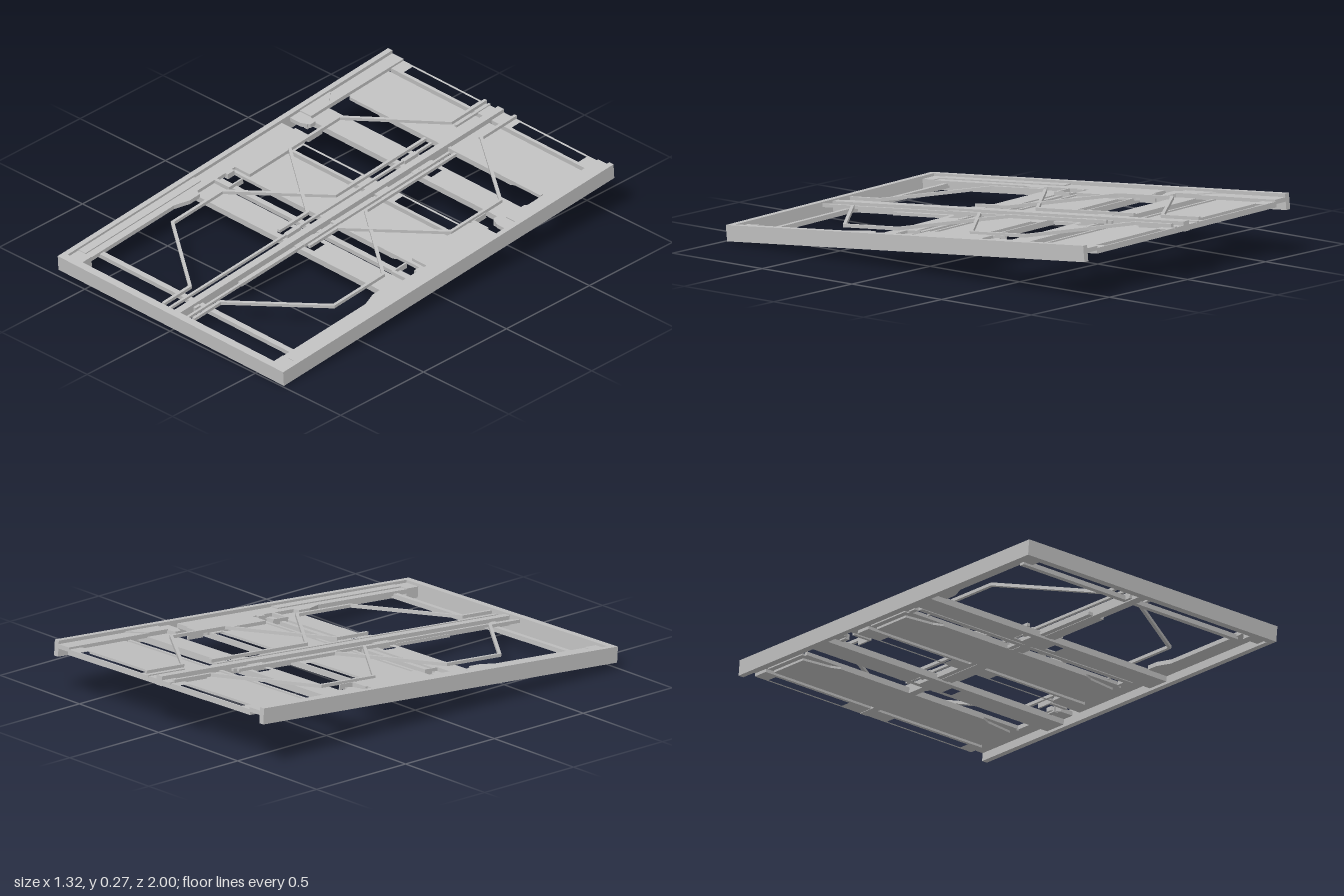
import * as THREE from 'three';

export function createModel() {
  const model = new THREE.Group();
  model.name = 'model';
  const frame = new THREE.Group();
  frame.name = 'tiltedFrame';
  model.add(frame);
  const steel = new THREE.MeshStandardMaterial({ color: 0xc0c0c0 });
  steel.name = 'grey steel';

  const add = (name, geo) => {
    const mesh = new THREE.Mesh(geo, steel);
    mesh.name = name;
    frame.add(mesh);
    return mesh;
  };
  // Box given by its limits
  const box = (name, x0, x1, y0, y1, z0, z1) =>
    add(name, new THREE.BoxGeometry(Math.abs(x1 - x0), y1 - y0, z1 - z0)
      .translate((x0 + x1) / 2, (y0 + y1) / 2, (z0 + z1) / 2));
  // Flat plate from an x,z outline, with rectangular holes [x0, x1, z0, z1]
  const plate = (name, pts, y0, y1, holes = []) => {
    const shape = new THREE.Shape(pts.map(([x, z]) => new THREE.Vector2(x, -z)));
    for (const [a, b, c, d] of holes) {
      shape.holes.push(new THREE.Path(
        [[a, c], [b, c], [b, d], [a, d]].map(([x, z]) => new THREE.Vector2(x, -z))));
    }
    const geo = new THREE.ExtrudeGeometry(shape, { depth: y1 - y0, bevelEnabled: false });
    return add(name, geo.rotateX(-Math.PI / 2).translate(0, y0, 0));
  };
  const rect = (x0, x1, z0, z1) => [[x0, z0], [x1, z0], [x1, z1], [x0, z1]];
  const mirrorX = (pts, s) => pts.map(([x, z]) => [s * x, z]);
  const both = (x0, x1, z0, z1) => [[x0, x1, z0, z1], [-x1, -x0, z0, z1]];
  // Square rod that follows x,z points
  const rod = (name, pts, y, w = 0.014) => {
    for (let i = 1; i < pts.length; i++) {
      const [ax, az] = pts[i - 1], [bx, bz] = pts[i];
      const len = Math.hypot(bx - ax, bz - az);
      const m = add(name, new THREE.BoxGeometry(w, w, len + w * 0.5));
      m.position.set((ax + bx) / 2, y, (az + bz) / 2);
      m.rotation.y = Math.atan2(bx - ax, bz - az);
    }
  };

  // Front wall and slim bars behind it
  box('frontWall', -0.66, 0.66, 0, 0.07, 0.965, 1);
  box('frontCrossBar', -0.57, 0.57, 0.025, 0.045, 0.825, 0.85);
  box('frontClip', -0.03, 0.03, 0.025, 0.05, 0.85, 0.88);

  // Side rails: tall outer wall with a stepped inner flange
  for (const s of [1, -1]) {
    box('sideWall', s * 0.66, s * 0.635, 0, 0.07, -1, 0.99);
    plate('sideFlange', mirrorX([
      [0.64, 0.97], [0.56, 0.97], [0.56, 0.40], [0.535, 0.33], [0.535, 0.27], [0.56, 0.26],
      [0.56, 0.03], [0.475, 0.03], [0.475, -0.30], [0.49, -0.33], [0.59, -0.33],
      [0.635, -0.33], [0.635, -0.38], [0.575, -0.38], [0.535, -0.40], [0.535, -0.43],
      [0.575, -0.44], [0.575, -0.60], [0.57, -1], [0.64, -1],
    ], s), 0.036, 0.055);
    // Gusset where the flange meets the rear beam
    plate('railGusset', mirrorX([[0.64, -0.63], [0.57, -0.55], [0.57, -0.44], [0.64, -0.44]], s),
      0.055, 0.06);
    box('flangeStrip', s * 0.637, s * 0.595, 0.055, 0.06, 0.2, 0.9);
    box('cornerBlock', s * 0.637, s * 0.56, 0.01, 0.058, 0.9, 0.966);

    // Small brackets around the side openings
    for (const z of [0.05, -0.43]) {
      box('openingBracket', s * 0.475, s * 0.483, 0.03, 0.055, z + 0.02, z + 0.1);
      box('openingBracket', s * 0.475, s * 0.565, 0.03, 0.055, z + 0.09, z + 0.105);
      box('openingTab', s * 0.545, s * 0.565, 0.03, 0.055, z, z + 0.04);
    }
  }

  // Two repeated bays: slotted bar, wide deck, slim bars and cross beam
  [-0.71, 0].forEach((dz, i) => {
    const w = 0.575, slot = i ? 0.46 : 0.51;
    plate('slottedBar', rect(-w, w, -0.29 + dz * 1, -0.215 + dz),
      0.022, 0.046, both(0.12, slot, -0.28 + dz, -0.23 + dz));
    plate('deckPanel', rect(-w, w, -0.2 + dz, 0.035 + dz), 0.03, 0.04);
    plate('deckStiffener', [
      [-0.55, -0.19 + dz], [0.55, -0.19 + dz], [0.55, 0.01 + dz], [0.42, 0.03 + dz],
      [0.38, 0.05 + dz], [-0.38, 0.05 + dz], [-0.42, 0.03 + dz], [-0.55, 0.01 + dz],
    ], 0.02, 0.03);
    box('deckLip', -0.56, 0.56, 0.03, 0.046, 0.035 + dz, 0.05 + dz);
    plate('crossBeam', rect(-0.64, 0.64, 0.158 + dz, 0.272 + dz),
      0.012, 0.04, both(0.062, 0.108, 0.18 + dz, 0.245 + dz));
    for (const s of [1, -1]) {
      box('beamClip', s * 0.04, s * 0.062, 0.04, 0.058, 0.17 + dz, 0.25 + dz);
    }
  });
  box('middleBar', -0.56, 0.56, 0.02, 0.04, 0.11, 0.135);

  // Central spine
  box('spine', -0.017, 0.017, 0.02, 0.063, -1, 0.97);
  box('spinePlate', -0.04, 0.04, 0.022, 0.036, -0.55, 0.61);

  // Straight and cranked push rods on each side of the spine
  for (const s of [1, -1]) {
    rod('straightRod', [[s * 0.053, -0.63], [s * 0.053, 0.95]], 0.05, 0.012);
    rod('rearGuide', [[s * 0.07, -1], [s * 0.07, -0.8]], 0.045, 0.012);
    rod('rearCrankedRod', mirrorX([
      [0.088, -0.995], [0.088, -0.79], [0.472, -0.51], [0.472, -0.21], [0.088, 0.08], [0.088, 0.25],
    ], s), 0.059);
    rod('frontCrankedRod', mirrorX([
      [0.088, -0.63], [0.088, -0.09], [0.472, 0.2], [0.472, 0.5], [0.088, 0.79], [0.088, 0.95],
    ], s), 0.058);
  }

  // The whole frame leans: rear raised, right rail slightly lower
  frame.rotation.set(0.0873, 0, -0.0205);
  frame.position.set(0, 0.1005, -0.003);
  return model;
}
